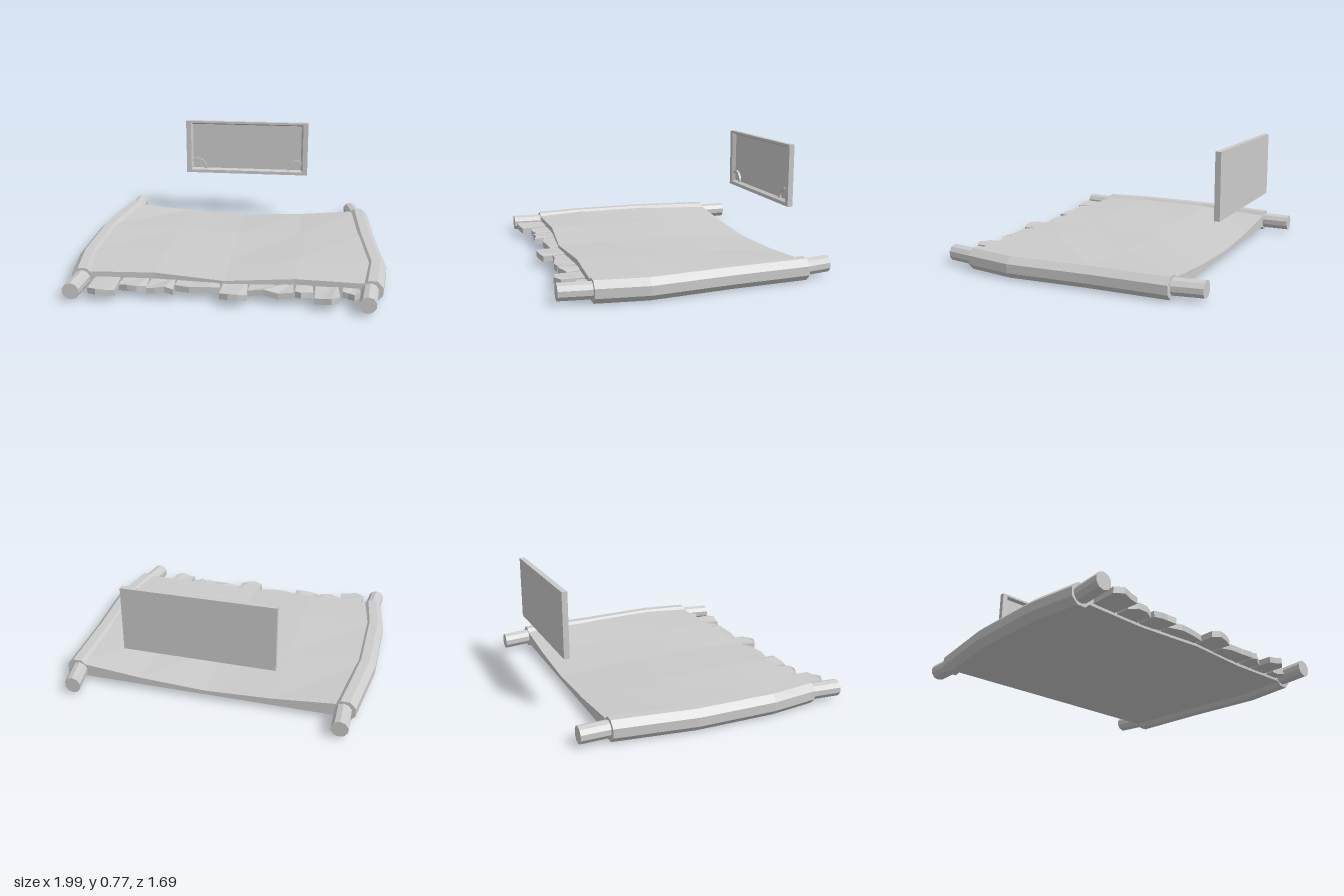
import * as THREE from 'three';

const material = new THREE.MeshStandardMaterial({ color: 0xcccccc, flatShading: true });

function addMesh(parent, name, geometry) {
  const flat = geometry.index ? geometry.toNonIndexed() : geometry;
  flat.computeVertexNormals();
  const mesh = new THREE.Mesh(flat, material);
  mesh.name = name;
  parent.add(mesh);
  return mesh;
}

// Skin over closed rings of equal length, each counter-clockwise seen from +z, with capped ends
function loft(rings) {
  const n = rings[0].length, pos = [], index = [];
  rings.forEach(r => r.forEach(p => pos.push(...p)));
  for (let r = 0; r < rings.length - 1; r++) {
    for (let i = 0; i < n; i++) {
      const a = r * n + i, b = r * n + (i + 1) % n;
      index.push(a, b, b + n, a, b + n, a + n);
    }
  }
  const last = (rings.length - 1) * n;
  for (let i = 1; i < n - 1; i++) {
    index.push(0, i + 1, i);
    index.push(last, last + i, last + i + 1);
  }
  const g = new THREE.BufferGeometry();
  g.setAttribute('position', new THREE.Float32BufferAttribute(pos, 3));
  g.setIndex(index);
  return g;
}

// Bar following [x, z] stations at a constant height
const AXIS_Y = 0.073;
function bar(path, radius, sides) {
  return loft(path.map(([x, z]) => Array.from({ length: sides }, (_, i) => {
    const t = (i + 0.5) / sides * Math.PI * 2;
    return [x + Math.cos(t) * radius, AXIS_Y + Math.sin(t) * radius, z];
  })));
}

const rectRing = (x, y0, y1, z) => [[-x, y0, z], [x, y0, z], [x, y1, z], [-x, y1, z]];

export function createModel() {
  const group = new THREE.Group();

  // Bent side rolls with thinner rod ends poking out
  const Z = [-0.67, -0.17, 0.34, 0.65];
  const rolls = {
    right: { x: [-0.867, -0.932, -0.932, -0.888], back: [[-0.863, -0.85], [-0.858, -0.6]], front: [[-0.885, 0.58], [-0.905, 0.843]] },
    left: { x: [0.862, 0.885, 0.928, 0.887], back: [[0.812, -0.85], [0.86, -0.6]], front: [[0.885, 0.58], [0.852, 0.843]] },
  };
  for (const [side, r] of Object.entries(rolls)) {
    addMesh(group, side + 'Roll', bar(r.x.map((x, i) => [x, Z[i]]), 0.0725, 8));
    addMesh(group, side + 'BackRodEnd', bar(r.back, 0.053, 10));
    addMesh(group, side + 'FrontRodEnd', bar(r.front, 0.053, 10));
  }

  // Sagging sheet stretched between the rolls: top heights per row, back to front
  const heights = [
    [0.12, 0.08, 0.06, 0.08, 0.12],
    [0.125, 0.115, 0.1, 0.105, 0.125],
    [0.125, 0.13, 0.105, 0.13, 0.125],
    [0.12, 0.125, 0.105, 0.125, 0.12],
  ];
  const frontEdge = [0.65, 0.635, 0.667, 0.637, 0.65];
  const sheet = new THREE.BoxGeometry(4, 2, 3, 4, 1, 3);
  const p = sheet.attributes.position;
  for (let k = 0; k < p.count; k++) {
    const i = Math.round(p.getX(k) + 2), j = Math.round(p.getZ(k) + 1.5);
    const x0 = rolls.right.x[j], x1 = rolls.left.x[j];
    const x = i === 0 ? x0 : i === 4 ? x1 : (i - 2) * 0.43;
    p.setXYZ(k, x, p.getY(k) > 0 ? heights[j][i] : 0.033, j === 3 ? frontEdge[i] : Z[j]);
  }
  addMesh(group, 'sheet', sheet);

  // Ragged tabs along the front edge: start x, end x, then the z of the torn tip points
  const tabs = [
    [-0.81, -0.64, 0.81, 0.838, 0.825, 0.815],
    [-0.635, -0.462, 0.735, 0.76, 0.765, 0.74],
    [-0.462, -0.295, 0.765, 0.77, 0.762, 0.778],
    [-0.295, -0.02, 0.715, 0.74, 0.73, 0.72],
    [-0.015, 0.15, 0.8, 0.822, 0.815, 0.795],
    [0.15, 0.425, 0.735, 0.74, 0.76, 0.755],
    [0.43, 0.54, 0.74, 0.76, 0.735, 0.72],
    [0.545, 0.695, 0.8, 0.808, 0.82, 0.785],
    [0.71, 0.815, 0.7, 0.71, 0.733, 0.7],
  ];
  const fringe = new THREE.Group();
  fringe.name = 'fringe';
  group.add(fringe);
  tabs.forEach(([x0, x1, ...tips], t) => {
    const shape = new THREE.Shape();
    shape.moveTo(x0 + 0.01, 0.6);
    tips.forEach((z, i) => shape.lineTo(THREE.MathUtils.lerp(x0, x1, i / 3), z));
    shape.lineTo(x1 - 0.01, 0.6);
    const g = new THREE.ExtrudeGeometry(shape, { depth: 0.038, bevelEnabled: false });
    g.rotateX(Math.PI / 2).translate(0, 0.088, 0);
    const q = g.attributes.position;
    for (let k = 0; k < q.count; k++) {
      if (q.getZ(k) > 0.61) q.setY(k, q.getY(k) + 0.007 * Math.sin(q.getX(k) * 31));
    }
    addMesh(fringe, 'tab' + (t + 1), g);
  });

  // Upright back panel with a bevelled recess facing front
  const panel = new THREE.Group();
  panel.name = 'backPanel';
  group.add(panel);
  addMesh(panel, 'panelFrame', loft([
    rectRing(0.467, 0.365, 0.772, -0.79),
    rectRing(0.467, 0.365, 0.772, -0.755),
    rectRing(0.43, 0.388, 0.757, -0.755),
    rectRing(0.417, 0.4, 0.745, -0.78),
  ]));

  // Raised arcs in the lower corners of the recess
  for (const s of [-1, 1]) {
    const arc = new THREE.Shape();
    const a0 = s < 0 ? -0.1 : Math.PI - 2.27, a1 = s < 0 ? 2.27 : Math.PI + 0.1;
    arc.absarc(s * 0.385, 0.405, 0.072, a0, a1, false);
    arc.absarc(s * 0.385, 0.405, 0.055, a1, a0, true);
    const g = new THREE.ExtrudeGeometry(arc, { depth: 0.016, bevelEnabled: false, curveSegments: 8 });
    g.translate(0, 0, -0.781);
    addMesh(panel, s < 0 ? 'rightCornerArc' : 'leftCornerArc', g);
  }
  return group;
}
